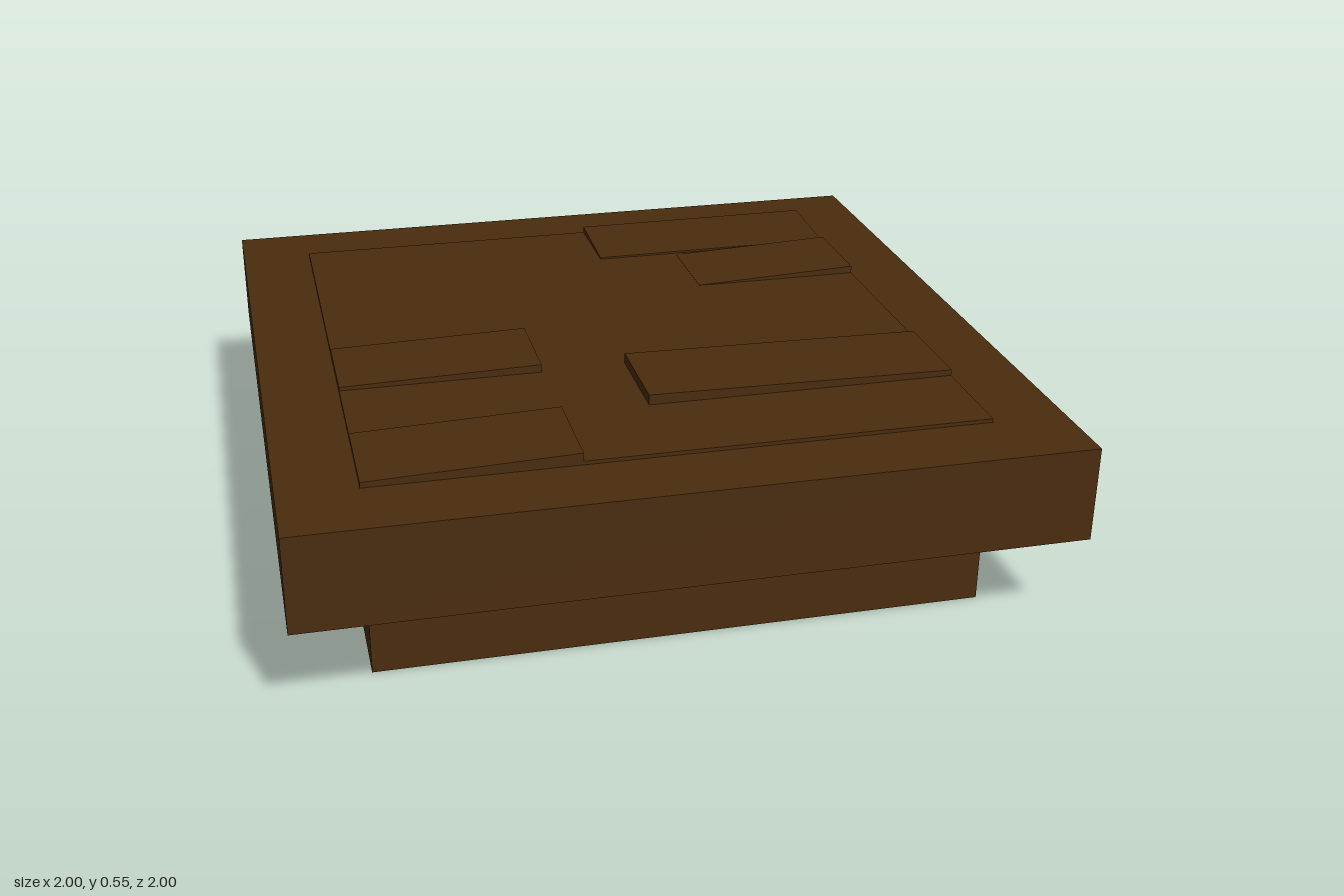
import * as THREE from 'three';

const wood = new THREE.MeshStandardMaterial({ color: 0x4a2c0e });
wood.name = 'darkWood';

export function createModel() {
  const model = new THREE.Group();
  model.name = 'steppedWoodenSlab';

  const add = (name, geometry) => {
    const mesh = new THREE.Mesh(geometry, wood);
    mesh.name = name;
    model.add(mesh);
  };

  // A block between two corners
  const block = (x0, x1, y0, y1, z0, z1) =>
    new THREE.BoxGeometry(x1 - x0, y1 - y0, z1 - z0)
      .translate((x0 + x1) / 2, (y0 + y1) / 2, (z0 + z1) / 2);

  // Hollow square base, open underneath
  const square = (Type, r) => new Type([[-r, -r], [r, -r], [r, r], [-r, r]].map(([x, y]) => new THREE.Vector2(x, y)));
  const outline = square(THREE.Shape, 0.8);
  outline.holes.push(square(THREE.Path, 0.64));
  add('baseFrame', new THREE.ExtrudeGeometry(outline, { depth: 0.26, bevelEnabled: false })
    .rotateX(-Math.PI / 2));

  // Wide slab and the thin raised panel on it
  add('slab', block(-1, 1, 0.26, 0.515, -1, 1));
  add('topPanel', block(-0.8, 0.8, 0.515, 0.525, -0.8, 0.8));

  // Loose boards with gently sloping tops: x range, z range, then
  // top height at (x0,z0) and its rise along x and along z
  const boards = [
    [0.08, 0.8, -0.8, -0.545, 0.543, 0.002, -0.013],
    [0.32, 0.8, -0.53, -0.26, 0.526, 0.02, 0],
    [-0.8, -0.26, 0, 0.26, 0.535, 0.012, 0],
    [-0.03, 0.8, 0.25, 0.525, 0.553, -0.012, 0],
    [-0.8, -0.26, 0.53, 0.8, 0.53, 0.017, 0],
  ];
  boards.forEach(([x0, x1, z0, z1, top, riseX, riseZ], n) => {
    const g = block(x0, x1, 0.515, 0.6, z0, z1);
    const p = g.attributes.position;
    for (let i = 0; i < p.count; i++) {
      if (p.getY(i) < 0.55) continue;
      const u = (p.getX(i) - x0) / (x1 - x0);
      const v = (p.getZ(i) - z0) / (z1 - z0);
      p.setY(i, top + riseX * u + riseZ * v);
    }
    g.computeVertexNormals();
    add(`raisedBoard${n + 1}`, g);
  });

  return model;
}
